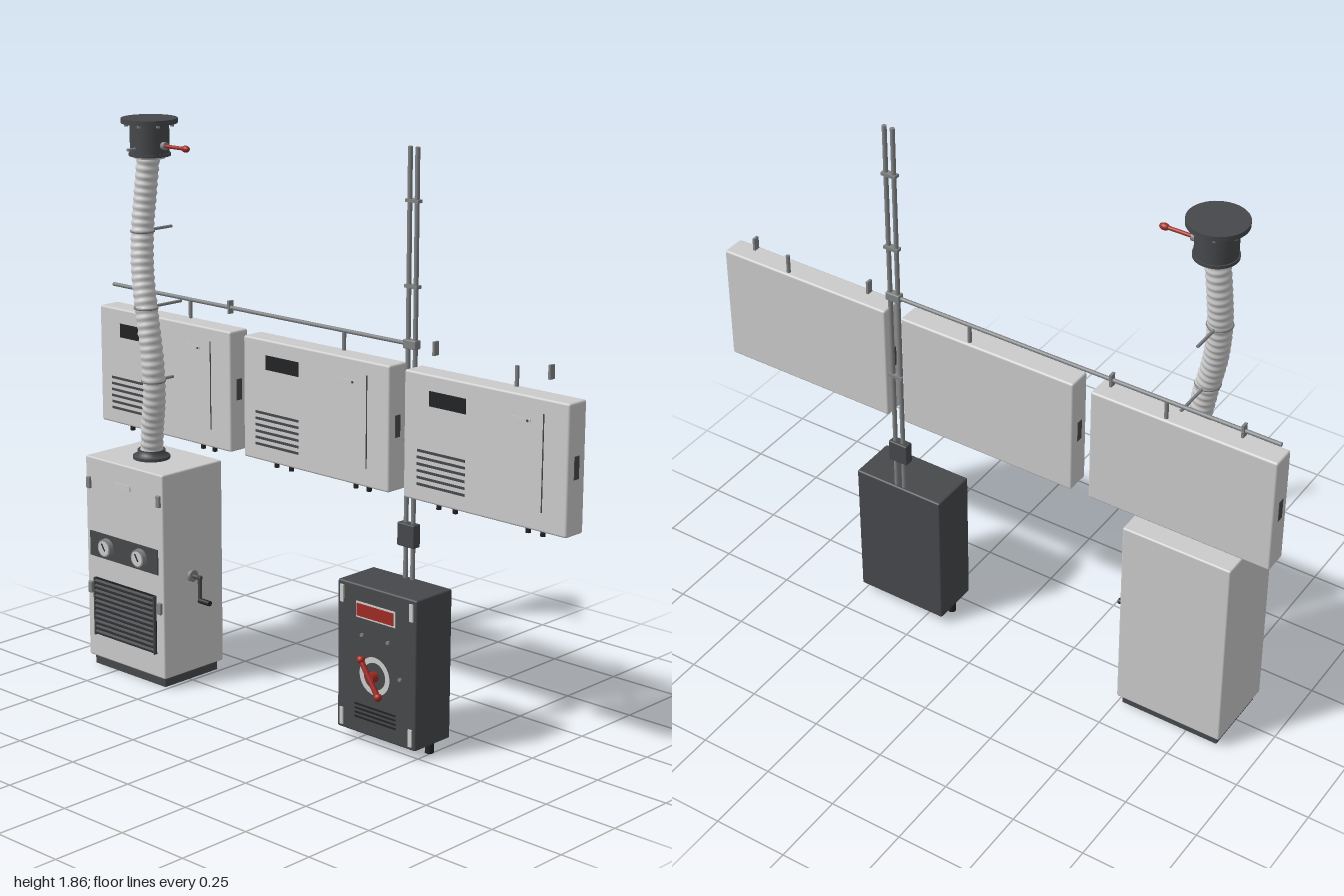
import * as THREE from 'three';
import { RoundedBoxGeometry } from 'three/addons/geometries/RoundedBoxGeometry.js';

const mat = (color) => new THREE.MeshStandardMaterial({ color });
const grey = mat(0xcccccc), dark = mat(0x46484b), black = mat(0x222325), steel = mat(0x808284), red = mat(0xa02a24);

function add(parent, name, geometry, material, x = 0, y = 0, z = 0) {
  const m = new THREE.Mesh(geometry, material);
  m.name = name;
  m.position.set(x, y, z);
  parent.add(m);
  return m;
}

// box given by its extents on each axis
function box(parent, name, material, [x0, x1], [y0, y1], [z0, z1], r = 0) {
  const s = [x1 - x0, y1 - y0, z1 - z0];
  const g = r ? new RoundedBoxGeometry(...s, 2, r) : new THREE.BoxGeometry(...s);
  return add(parent, name, g, material, (x0 + x1) / 2, (y0 + y1) / 2, (z0 + z1) / 2);
}

// round bar between two points
function rod(parent, name, material, a, b, r, r2 = r, sides = 16) {
  const p = new THREE.Vector3(...a), q = new THREE.Vector3(...b), d = q.clone().sub(p);
  const m = add(parent, name, new THREE.CylinderGeometry(r2, r, d.length(), sides), material);
  m.position.copy(p).add(q).multiplyScalar(0.5);
  m.quaternion.setFromUnitVectors(new THREE.Vector3(0, 1, 0), d.normalize());
  return m;
}

function group(parent, name, x = 0, y = 0, z = 0) {
  const g = new THREE.Group();
  g.name = name;
  g.position.set(x, y, z);
  parent.add(g);
  return g;
}

// flat wall cabinet, origin at its lower left corner
function wallPanel(parent, x) {
  const g = group(parent, 'wallPanel', x, 0.8, 0);
  const f = -0.065;
  box(g, 'panelBody', grey, [0, 0.625], [0, 0.4], [-0.145, f], 0.007);
  box(g, 'displayWindow', black, [0.1, 0.243], [0.303, 0.35], [f - 0.01, f + 0.002]);
  for (let i = 0; i < 6; i++) {
    const y = 0.05 + i * 0.021;
    box(g, 'louver', dark, [0.055, 0.243], [y, y + 0.008], [f - 0.01, f + 0.002]);
  }
  box(g, 'doorSeam', dark, [0.531, 0.535], [0.06, 0.355], [f - 0.01, f + 0.001]);
  box(g, 'namePlate', grey, [0.42, 0.485], [0.322, 0.332], [f - 0.01, f + 0.002]);
  rod(g, 'indicator', dark, [0.475, 0.325, f - 0.005], [0.475, 0.325, f + 0.003], 0.004);
  for (const s of [0, 0.625])
    box(g, 'sideGrip', dark, [s - 0.002, s + 0.002], [0.17, 0.24], [-0.115, -0.093]);
  for (const c of [0.11, 0.175, 0.455, 0.51]) {
    rod(g, 'cableGland', black, [c, -0.025, -0.105], [c, 0.002, -0.105], 0.008);
    rod(g, 'glandNut', black, [c, -0.01, -0.105], [c, 0.002, -0.105], 0.011, 0.011, 6);
  }
}

function floorCabinet(parent) {
  const g = group(parent, 'floorCabinet');
  const f = 0.125;
  box(g, 'plinth', dark, [-0.86, -0.515], [0, 0.035], [-0.13, 0.11]);
  box(g, 'cabinetBody', grey, [-0.875, -0.5], [0.033, 0.735], [-0.145, f], 0.006);
  box(g, 'gaugePanel', dark, [-0.855, -0.525], [0.392, 0.478], [f - 0.01, f + 0.004]);
  for (const x of [-0.77, -0.607]) {
    rod(g, 'gaugeBezel', steel, [x, 0.435, f], [x, 0.435, f + 0.02], 0.032, 0.03, 32);
    rod(g, 'gaugeFace', grey, [x, 0.435, f], [x, 0.435, f + 0.022], 0.025, 0.025, 32);
    const n = box(g, 'gaugeNeedle', black, [x - 0.002, x + 0.002], [0.425, 0.453], [f + 0.02, f + 0.024]);
    n.rotation.z = 0.6;
  }
  // intake grille with slanted slats
  box(g, 'grilleBack', black, [-0.835, -0.537], [0.115, 0.318], [f - 0.01, f + 0.003]);
  for (const x of [-0.835, -0.543])
    box(g, 'grilleSide', dark, [x, x + 0.006], [0.115, 0.318], [f, f + 0.012]);
  for (let i = 0; i < 11; i++) {
    const y = 0.12 + i * 0.018;
    const s = box(g, 'grilleSlat', dark, [-0.83, -0.542], [y, y + 0.011], [f + 0.002, f + 0.012]);
    s.rotation.x = 0.5;
  }
  // hinges and name plate
  for (const x of [-0.857, -0.518]) for (const y of [0.645, 0.278])
    box(g, 'doorHinge', steel, [x - 0.009, x + 0.009], [y - 0.02, y + 0.02], [f - 0.01, f + 0.009], 0.003);
  box(g, 'namePlate', grey, [-0.728, -0.655], [0.65, 0.67], [f - 0.01, f + 0.003]);
  // side crank
  const c = group(g, 'crank');
  rod(c, 'crankHub', steel, [-0.502, 0.368, 0], [-0.488, 0.368, 0], 0.02);
  rod(c, 'crankShaft', dark, [-0.49, 0.368, 0], [-0.453, 0.368, 0], 0.007);
  rod(c, 'crankArm', dark, [-0.46, 0.374, 0], [-0.46, 0.284, 0], 0.007);
  rod(c, 'crankGrip', black, [-0.462, 0.289, 0], [-0.413, 0.289, 0], 0.009);
}

function exhaust(parent) {
  const g = group(parent, 'exhaust');
  // corrugated flexible duct
  const path = new THREE.CatmullRomCurve3([
    [-0.69, 0.74, -0.005], [-0.672, 0.84, 0.006], [-0.648, 0.95, 0.018], [-0.645, 1.07, 0.025],
    [-0.668, 1.22, 0.024], [-0.7, 1.36, 0.012], [-0.717, 1.5, -0.006], [-0.716, 1.62, -0.02], [-0.706, 1.75, -0.028],
  ].map((p) => new THREE.Vector3(...p)));
  const rings = 240, sides = 24;
  const duct = new THREE.TubeGeometry(path, rings, 0.037, sides);
  const p = duct.attributes.position, n = duct.attributes.normal;
  for (let i = 0; i < p.count; i++) {
    const d = 0.0018 * Math.cos(Math.floor(i / (sides + 1)) / rings * Math.PI * 2 * 40);
    p.setXYZ(i, p.getX(i) + n.getX(i) * d, p.getY(i) + n.getY(i) * d, p.getZ(i) + n.getZ(i) * d);
  }
  duct.computeVertexNormals();
  add(g, 'flexibleDuct', duct, grey);
  // clamps with stays to the wall
  for (const [x, y, z, back] of [[-0.645, 1.01, 0.023, -0.07], [-0.675, 1.25, 0.023, -0.135], [-0.717, 1.495, -0.006, -0.135]]) {
    add(g, 'ductClamp', new THREE.TorusGeometry(0.037, 0.004, 8, 32), steel, x, y, z).rotation.x = Math.PI / 2;
    rod(g, 'wallStay', steel, [x, y, z - 0.036], [x, y, back], 0.005);
  }
  const lathe = (name, material, pts, x, z) => add(g, name,
    new THREE.LatheGeometry(pts.map((q) => new THREE.Vector2(...q)), 40), material, x, 0, z);
  lathe('ductCollar', dark, [[0.062, 0.733], [0.062, 0.745], [0.062, 0.745], [0.046, 0.752], [0.046, 0.766], [0.046, 0.766], [0.03, 0.766]], -0.69, -0.005);
  // valve head with flange, bolts and lever
  const hx = -0.705, hz = -0.032;
  rod(g, 'headRing', grey, [hx, 1.732, hz], [hx, 1.745, hz], 0.05, 0.056, 40);
  rod(g, 'valveBody', dark, [hx, 1.742, hz], [hx, 1.85, hz], 0.064, 0.064, 40);
  rod(g, 'lowerLip', dark, [hx, 1.74, hz], [hx, 1.75, hz], 0.068, 0.068, 40);
  rod(g, 'topFlange', dark, [hx, 1.846, hz], [hx, 1.862, hz], 0.092, 0.092, 40);
  for (let i = 0; i < 8; i++) {
    const a = (i + 0.5) * Math.PI / 4, x = hx + 0.08 * Math.cos(a), z = hz + 0.08 * Math.sin(a);
    rod(g, 'flangeBolt', steel, [x, 1.838, z], [x, 1.848, z], 0.007, 0.007, 6);
  }
  rod(g, 'frontPin', steel, [hx, 1.767, hz + 0.05], [hx, 1.767, hz + 0.097], 0.005);
  rod(g, 'leverPivot', steel, [hx + 0.06, 1.777, hz], [hx + 0.078, 1.777, hz], 0.013);
  rod(g, 'lever', red, [hx + 0.07, 1.777, hz], [hx + 0.168, 1.777, hz], 0.006);
  add(g, 'leverKnob', new THREE.SphereGeometry(0.011, 16, 12), red, hx + 0.168, 1.777, hz).scale.x = 1.5;
}

function controlBox(parent) {
  const g = group(parent, 'controlBox');
  const f = 0.02;
  box(g, 'controlBody', dark, [0.18, 0.505], [0.03, 0.517], [-0.145, f], 0.006);
  for (const x of [0.194, 0.49]) rod(g, 'foot', black, [x, 0, -0.065], [x, 0.035, -0.065], 0.014);
  for (const x of [0.2, 0.485]) for (const y of [0.475, 0.07])
    box(g, 'cornerHinge', grey, [x - 0.007, x + 0.007], [y - 0.028, y + 0.028], [f - 0.01, f + 0.005]);
  box(g, 'signFrame', grey, [0.258, 0.42], [0.411, 0.463], [f - 0.01, f + 0.002]);
  box(g, 'signPlate', red, [0.264, 0.414], [0.417, 0.457], [f - 0.01, f + 0.005]);
  for (const [x, y] of [[0.285, 0.357], [0.392, 0.357], [0.443, 0.25]])
    rod(g, 'button', steel, [x, y, f], [x, y, f + 0.007], 0.006);
  for (let i = 0; i < 4; i++)
    box(g, 'ventSlot', black, [0.255, 0.425], [0.08 + i * 0.014, 0.086 + i * 0.014], [f - 0.01, f + 0.002]);
  // rotary switch
  const s = group(g, 'rotarySwitch', 0.34, 0.235, f);
  rod(s, 'dialFace', dark, [0, 0, -0.005], [0, 0, 0.004], 0.05, 0.05, 40);
  add(s, 'dialRing', new THREE.RingGeometry(0.044, 0.062, 48), grey, 0, 0, 0.005);
  rod(s, 'switchShaft', red, [0, 0, 0], [0, 0, 0.03], 0.017);
  const h = group(s, 'switchHandle', 0, 0, 0.029);
  h.rotation.z = 0.6;
  rod(h, 'handleBar', red, [0, -0.066, 0], [0, 0.066, 0], 0.009);
  for (const y of [-0.064, 0.064]) add(h, 'handleEnd', new THREE.SphereGeometry(0.013, 16, 12), red, 0, y, 0);
}

function conduits(parent) {
  const g = group(parent, 'conduits');
  const z = -0.13;
  // vertical pair with straps and boxes
  for (const x of [0.327, 0.356]) rod(g, 'verticalConduit', steel, [x, 0.51, z], [x, 1.862, z], 0.0075);
  for (const y of [0.96, 1.44, 1.7])
    box(g, 'conduitStrap', steel, [0.316, 0.367], [y - 0.005, y + 0.005], [-0.142, -0.12]);
  box(g, 'junctionBox', dark, [0.304, 0.373], [0.622, 0.697], [-0.145, -0.113], 0.004);
  box(g, 'teeBox', steel, [0.315, 0.366], [1.248, 1.276], [-0.143, -0.117], 0.003);
  // horizontal run and drops to the panels
  rod(g, 'horizontalConduit', steel, [-1, 1.262, z], [0.33, 1.262, z], 0.0065);
  for (const x of [-0.625, 0.063, 0.75]) rod(g, 'panelDrop', steel, [x, 1.195, z], [x, 1.262, z], 0.0065);
  for (const x of [-0.88, -0.44, 0.435, 0.875])
    box(g, 'conduitClip', steel, [x - 0.004, x + 0.004], [1.242, 1.285], [-0.142, -0.121]);
}

export function createModel() {
  const model = new THREE.Group();
  model.name = 'equipmentWall';
  for (const x of [-1, -0.315, 0.37]) wallPanel(model, x);
  floorCabinet(model);
  exhaust(model);
  controlBox(model);
  conduits(model);
  return model;
}
